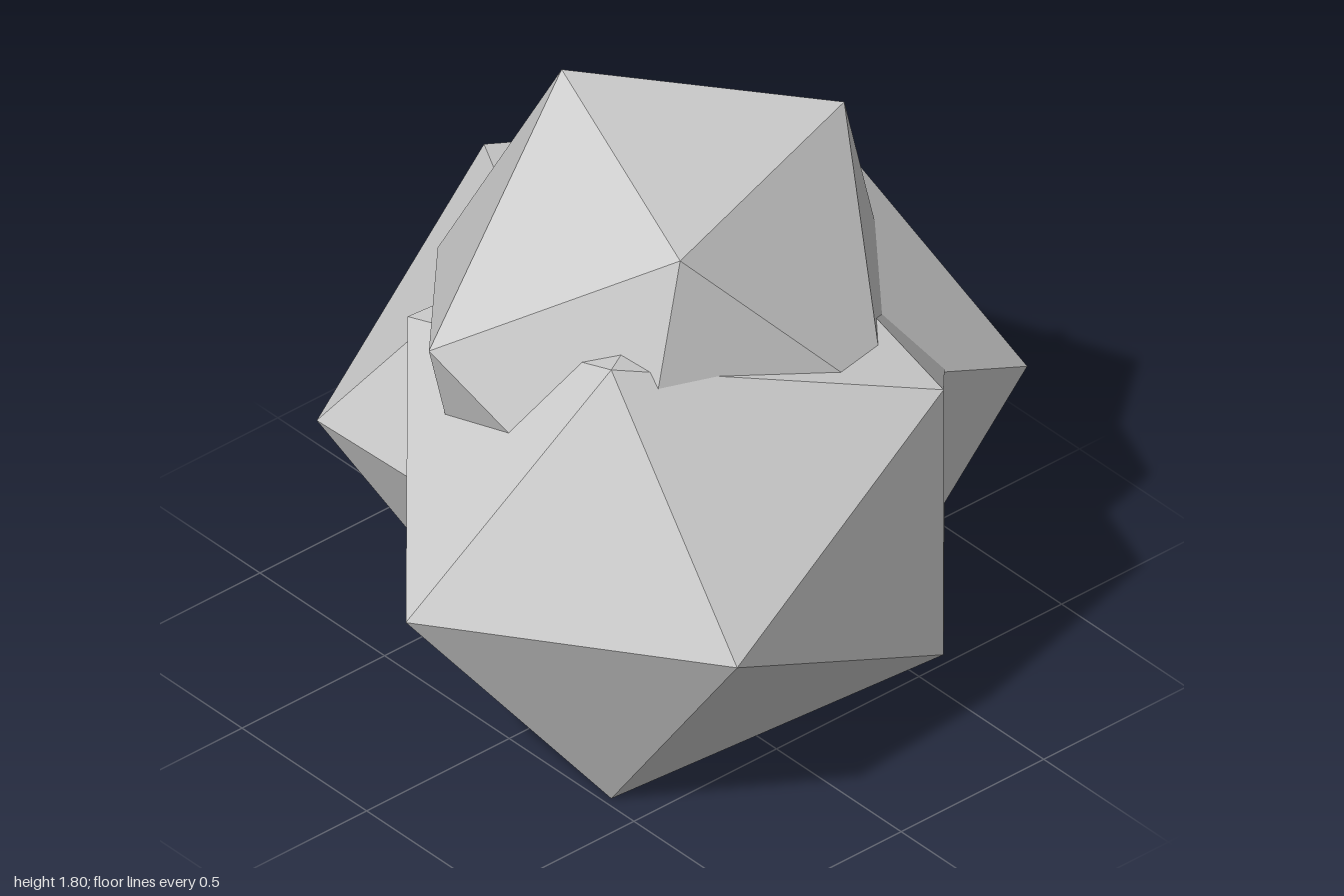
import * as THREE from 'three';

const material = new THREE.MeshStandardMaterial({ color: 0xcccccc, flatShading: true });

// Icosahedron with one corner pointing along its local z axis.
// roll turns the corner rings about that axis, length is the half-length along it.
function rock(name, radius, length, roll, yaw, position) {
  const geometry = new THREE.IcosahedronGeometry(radius, 0);
  geometry.rotateX(Math.atan(2 / (1 + Math.sqrt(5))));
  geometry.rotateZ(roll);
  geometry.scale(1, 1, length / radius);
  geometry.computeVertexNormals();
  const mesh = new THREE.Mesh(geometry, material);
  mesh.name = name;
  mesh.rotation.y = yaw;
  mesh.position.set(...position);
  return mesh;
}

export function createModel() {
  const group = new THREE.Group();
  group.name = 'rockCluster';
  group.add(
    // Two equal stretched boulders side by side on the ground
    rock('frontRock', 0.817, 0.946, Math.PI / 2, 0, [0.157, 0.695, 0.054]),
    rock('backRock', 0.817, 0.946, Math.PI / 2, -0.588, [-0.165, 0.695, -0.215]),
    // Flattened boulder resting on top
    rock('topRock', 0.802, 0.69, Math.PI, -1.258, [-0.003, 1.085, -0.038])
  );
  return group;
}
